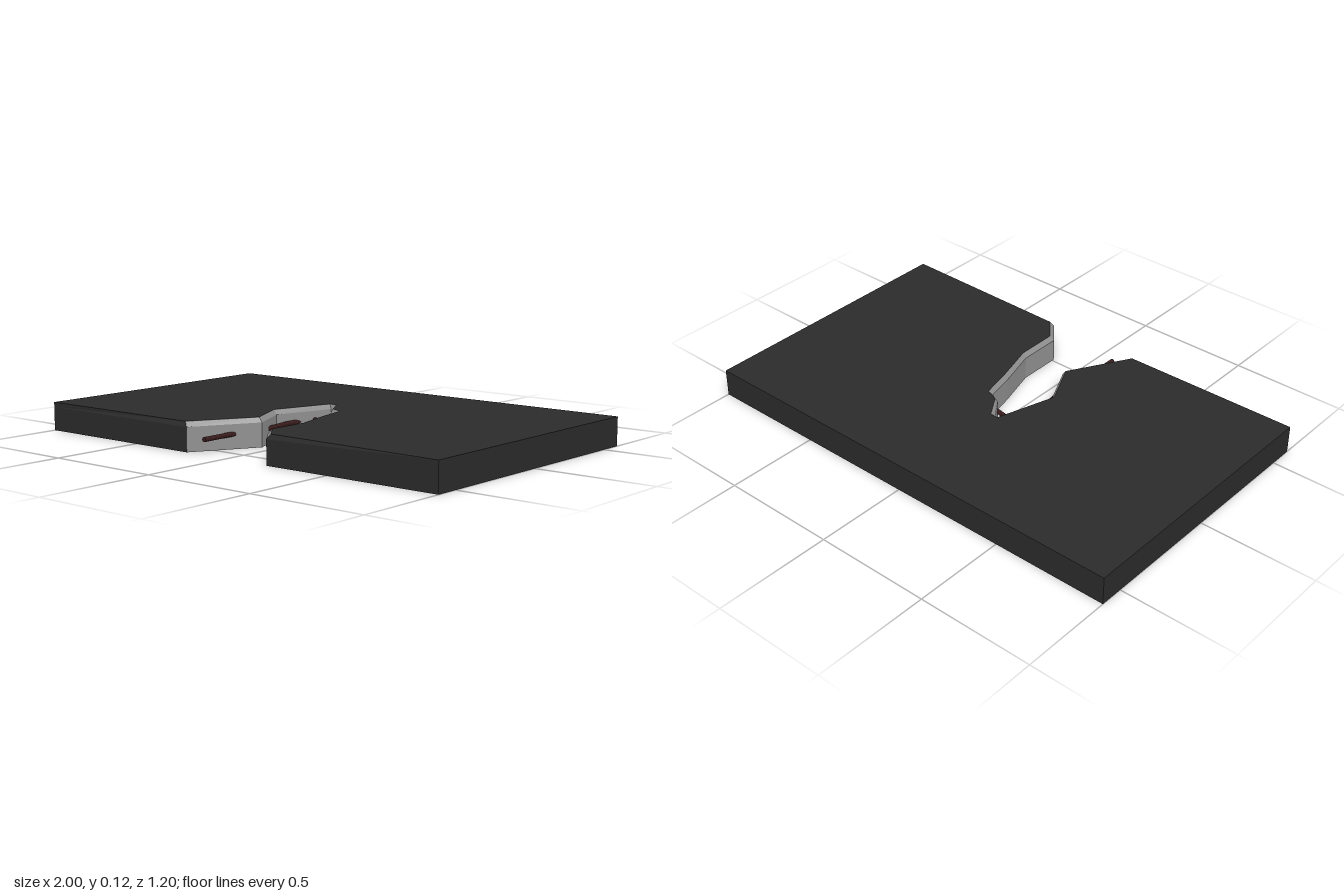
import * as THREE from 'three';
import { mergeGeometries } from 'three/addons/utils/BufferGeometryUtils.js';

const H = 0.12, LIP = 0.1;

// Broken edge as [x, z], front left to front right: lower line and chamfered upper line
const lowerBreak = [[-0.21, 0.6], [-0.06, 0.33], [-0.145, 0.15], [-0.07, -0.105], [-0.06, -0.105],
  [0.01, -0.005], [0.06, 0.02], [0.085, 0.14], [0.135, 0.32], [0.135, 0.51], [0.21, 0.6]];
const upperBreak = [[-0.225, 0.59], [-0.075, 0.33], [-0.16, 0.15], [-0.08, -0.11], [-0.045, -0.11],
  [0.015, -0.015], [0.07, 0.005], [0.1, 0.14], [0.15, 0.32], [0.15, 0.5], [0.225, 0.59]];

const outline = (edge) => [[-1, 0.6], ...edge, [1, 0.6], [1, -0.6], [-1, -0.6]];

// Wall of quads between two matching lines, for segments from..to
function wall(low, y0, high, y1, from, to) {
  const pos = [];
  for (let i = from; i < to; i++) {
    const j = (i + 1) % low.length;
    const a = [low[i][0], y0, low[i][1]], b = [low[j][0], y0, low[j][1]];
    const c = [high[j][0], y1, high[j][1]], d = [high[i][0], y1, high[i][1]];
    pos.push(...a, ...b, ...c, ...a, ...c, ...d);
  }
  const g = new THREE.BufferGeometry();
  g.setAttribute('position', new THREE.Float32BufferAttribute(pos, 3));
  g.computeVertexNormals();
  return g;
}

// Flat cap facing up (dir 1) or down (dir -1)
function cap(points, y, dir) {
  const shape = new THREE.Shape(points.map(([x, z]) => new THREE.Vector2(x, -dir * z)));
  const g = new THREE.ShapeGeometry(shape).toNonIndexed();
  g.rotateX(-dir * Math.PI / 2).translate(0, y, 0);
  g.deleteAttribute('uv');
  return g;
}

function rod(name, points, material) {
  const path = new THREE.CatmullRomCurve3(points.map((p) => new THREE.Vector3(...p)));
  const group = new THREE.Group();
  group.name = name;
  group.add(new THREE.Mesh(new THREE.TubeGeometry(path, 24, 0.01, 8), material));
  // closed ends
  for (const t of [0, 1]) {
    const end = new THREE.Mesh(new THREE.CircleGeometry(0.01, 8), material);
    const p = path.getPoint(t), out = path.getTangent(t).multiplyScalar(t ? 1 : -1);
    end.position.copy(p);
    end.lookAt(p.clone().add(out));
    group.add(end);
  }
  return group;
}

export function createModel() {
  const model = new THREE.Group();
  model.name = 'brokenSlab';
  const dark = new THREE.MeshStandardMaterial({ color: 0x2b2b2b, flatShading: true });
  const concrete = new THREE.MeshStandardMaterial({ color: 0x909090, flatShading: true });
  const rust = new THREE.MeshStandardMaterial({ color: 0x3a1c1c });

  const low = outline(lowerBreak), high = outline(upperBreak);
  const n = low.length, last = lowerBreak.length;

  // Slab: caps and the intact outer sides
  const slabParts = [cap(high, H, 1), cap(low, 0, -1)];
  for (const [from, to] of [[0, 1], [last, n]]) {
    slabParts.push(wall(low, 0, low, LIP, from, to), wall(low, LIP, high, H, from, to));
  }
  const slab = new THREE.Mesh(mergeGeometries(slabParts), dark);
  slab.name = 'slab';

  // Exposed faces of the break with the chamfer along the top
  const broken = new THREE.Mesh(mergeGeometries([
    wall(low, 0, low, LIP, 1, last), wall(low, LIP, high, H, 1, last),
  ]), concrete);
  broken.name = 'brokenEdge';

  // Reinforcing rods showing in the gap
  model.add(slab, broken,
    rod('longRod', [[-0.12, 0.06, 0.595], [-0.12, 0.06, 0.4], [-0.105, 0.06, 0.25],
      [-0.122, 0.06, 0.13], [-0.12, 0.06, 0]], rust),
    rod('crossRod', [[-0.13, 0.065, -0.032], [-0.04, 0.06, -0.02], [0.03, 0.06, -0.008]], rust));
  return model;
}
